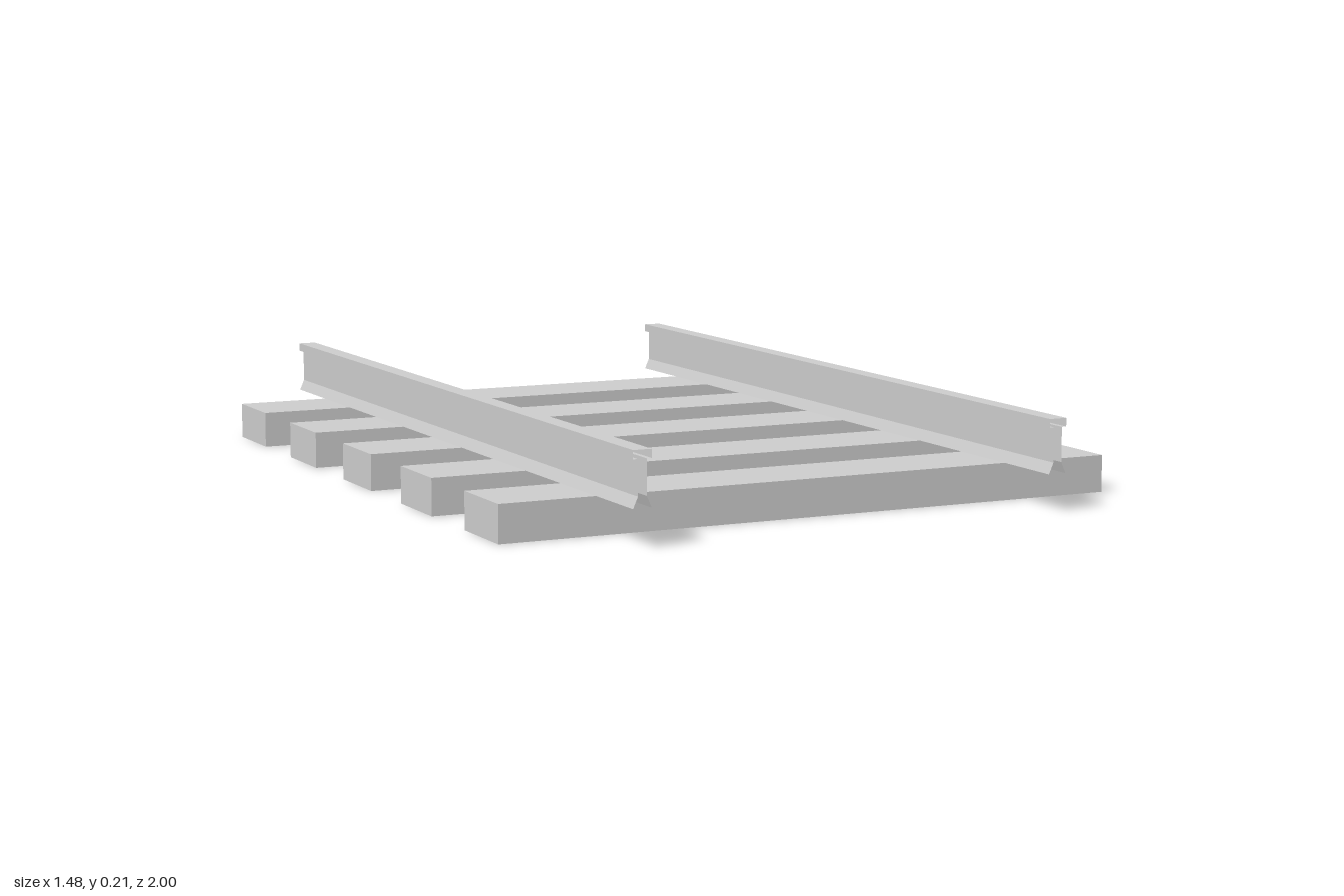
import * as THREE from 'three';

const material = new THREE.MeshStandardMaterial({
  color: 0xcccccc, flatShading: true, side: THREE.DoubleSide,
});

// Sheet swept along z from an [x, y] polyline, open at both ends
function sweepSheet(points, length) {
  const positions = [];
  const h = length / 2;
  for (let i = 0; i < points.length - 1; i++) {
    const [ax, ay] = points[i];
    const [bx, by] = points[i + 1];
    positions.push(ax, ay, h, bx, by, -h, bx, by, h);
    positions.push(ax, ay, h, ax, ay, -h, bx, by, -h);
  }
  const geometry = new THREE.BufferGeometry();
  geometry.setAttribute('position', new THREE.Float32BufferAttribute(positions, 3));
  geometry.computeVertexNormals();
  return geometry;
}

// Box without its bottom face, standing on y = 0
function openBottomBox(width, height, depth) {
  const geometry = new THREE.BoxGeometry(width, height, depth).translate(0, height / 2, 0);
  const index = Array.from(geometry.index.array);
  index.splice(18, 6);
  geometry.setIndex(index);
  geometry.clearGroups();
  return geometry;
}

export function createModel() {
  const model = new THREE.Group();
  model.name = 'railwayTrack';

  // Five evenly spaced sleepers, hollow underneath
  const sleeperGeometry = openBottomBox(1.476, 0.084, 0.18);
  for (let i = -2; i <= 2; i++) {
    const sleeper = new THREE.Mesh(sleeperGeometry, material);
    sleeper.name = 'sleeper';
    sleeper.position.z = i * 0.364;
    model.add(sleeper);
  }

  // Rail profile: splayed foot, narrow web and square head, open underneath
  const half = [[0.021, 0.085], [0.01, 0.11], [0.01, 0.187], [0.021, 0.187], [0.021, 0.206]];
  const profile = [...half, ...half.map(([x, y]) => [-x, y]).reverse()];
  const railGeometry = sweepSheet(profile, 2);
  for (const side of [1, -1]) {
    const rail = new THREE.Mesh(railGeometry, material);
    rail.name = side > 0 ? 'leftRail' : 'rightRail';
    rail.position.x = side * 0.498;
    model.add(rail);
  }

  return model;
}
